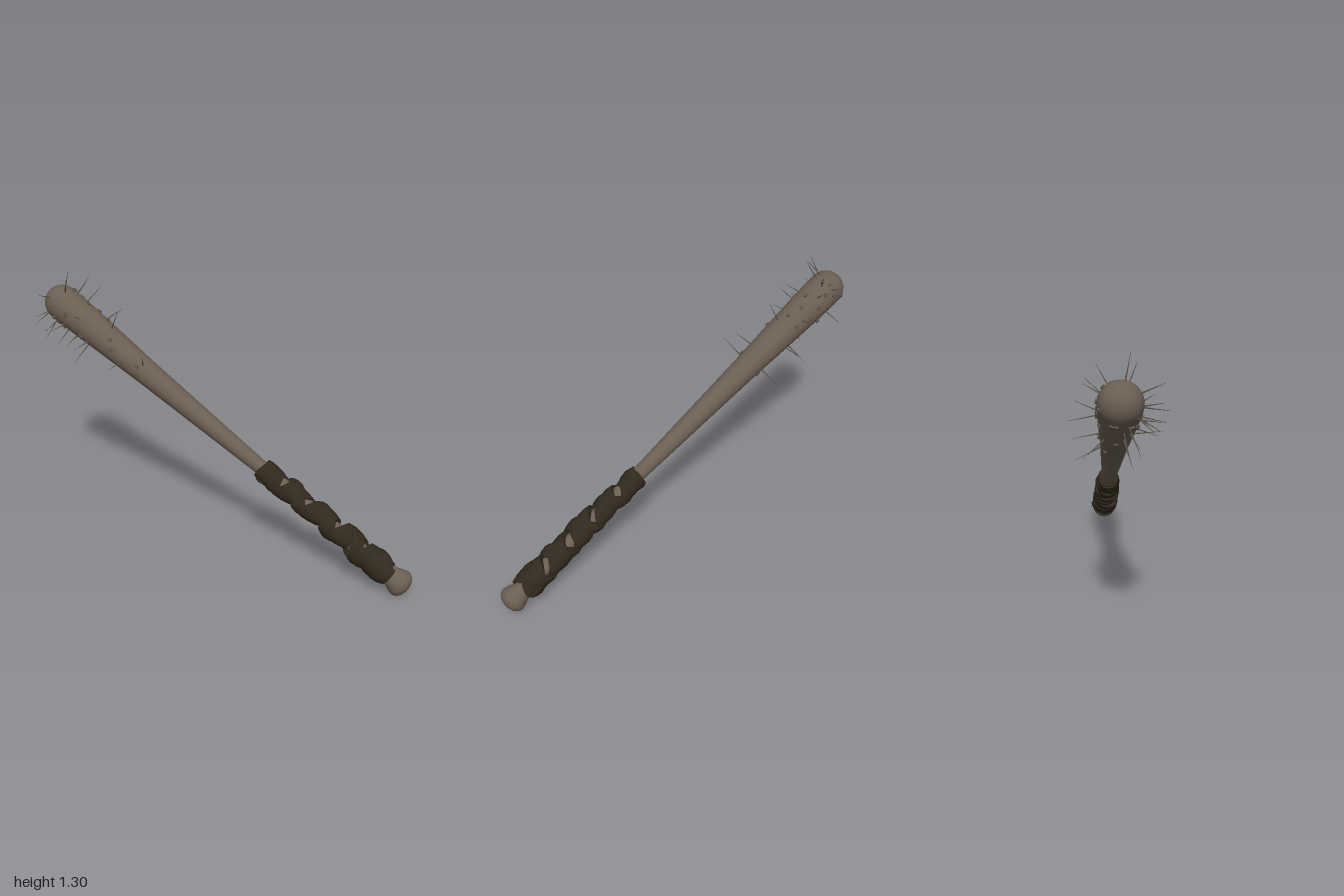
import * as THREE from 'three';
import { toCreasedNormals } from 'three/addons/utils/BufferGeometryUtils.js';

const wood = new THREE.MeshStandardMaterial({ color: 0x6b5e52 });
wood.name = 'weathered wood';
const leather = new THREE.MeshStandardMaterial({ color: 0x32291d, side: THREE.DoubleSide });
leather.name = 'dark leather';
const iron = new THREE.MeshStandardMaterial({ color: 0x5e534a });
iron.name = 'dull iron';

// Bat silhouette as [radius, distance from the knob end]
const PROFILE = [
  [0, 0], [0.022, 0.002], [0.042, 0.009], [0.057, 0.021], [0.066, 0.038], [0.065, 0.054], [0.057, 0.075],
  [0.048, 0.1], [0.041, 0.14], [0.036, 0.22], [0.033, 0.5], [0.035, 0.87], [0.045, 1.14],
  [0.062, 1.6], [0.074, 1.83], [0.084, 2.03], [0.087, 2.13], [0.087, 2.172],
];
const DOME = { r: 0.087, t: 2.172 };

function radiusAt(t) {
  if (t > DOME.t) return Math.sqrt(Math.max(0, DOME.r ** 2 - (t - DOME.t) ** 2));
  const k = PROFILE.findIndex((p) => p[1] >= t);
  const [r0, t0] = PROFILE[k - 1], [r1, t1] = PROFILE[k];
  return r0 + ((r1 - r0) * (t - t0)) / (t1 - t0);
}

// Turned wooden body with a rounded tip
function makeBat() {
  const pts = PROFILE.map(([r, t]) => new THREE.Vector2(r, t));
  for (let i = 1; i <= 10; i++) {
    const a = (i / 10) * Math.PI / 2;
    pts.push(new THREE.Vector2(i === 10 ? 0 : DOME.r * Math.cos(a), DOME.t + DOME.r * Math.sin(a)));
  }
  const mesh = new THREE.Mesh(new THREE.LatheGeometry(pts, 40), wood);
  mesh.name = 'batBody';
  return mesh;
}

// Flat strip wound round the grip from t0 to t1, closing with a level turn at each end;
// its section leans so turns overlap
function makeWrap(name, t0, t1, turns, width, lift, phase) {
  const section = [[-0.018, -0.5], [0.0, -0.5], [0.009, -0.2], [0.013, 0.2], [0.008, 0.48], [-0.018, 0.5]];
  const n = section.length, steps = Math.round(turns * 22);
  const pos = [], idx = [];
  for (let i = 0; i <= steps; i++) {
    const f = i / steps, a = phase + f * turns * Math.PI * 2;
    const climb = THREE.MathUtils.clamp((f * turns - 0.7) / (turns - 1.4), 0, 1);
    const t = t0 + (t1 - t0) * climb;
    const base = 0.057 - 0.015 * (t - 0.1) / 0.75 + lift + 0.004 * Math.sin(a * 0.73) + 0.002 * Math.sin(a * 2.3);
    const w = width * (1 + 0.12 * Math.sin(a * 1.37));
    for (const [dr, dt] of section) {
      const r = base + dr;
      pos.push(r * Math.cos(a), t + dt * w, r * Math.sin(a));
    }
  }
  for (let i = 0; i < steps; i++) {
    for (let j = 0; j < n; j++) {
      const p = i * n + j, q = i * n + ((j + 1) % n);
      idx.push(p, q, q + n, p, q + n, p + n);
    }
  }
  // End caps
  const e = steps * n;
  for (let j = 1; j < n - 1; j++) idx.push(0, j + 1, j, e, e + j, e + j + 1);
  const geo = new THREE.BufferGeometry();
  geo.setAttribute('position', new THREE.Float32BufferAttribute(pos, 3));
  geo.setIndex(idx);
  const mesh = new THREE.Mesh(toCreasedNormals(geo, 0.6), leather);
  mesh.name = name;
  return mesh;
}

// Nails driven through the barrel: [distance along bat, angle of point, point length, lean]
// Angle 0 is the upper side, 90 the front
const NAILS = [
  [2.17, 12, 0.11, 0.1], [1.87, 5, 0.11, 0.05], [1.63, 40, 0.12, 0], [2.13, 332, 0.1, 0.05],
  [1.93, 165, 0.13, 0.1], [2.06, 170, 0.12, 0.12], [2.15, 160, 0.12, -0.05], [2.0, 150, 0.07, 0.1],
  [2.085, 260, 0.11, -0.1], [2.08, 315, 0.1, 0], [1.96, 296, 0.11, -0.1],
  [1.836, 227, 0.11, 0], [1.805, 258, 0.11, 0.05], [1.652, 242, 0.13, 0], [2.15, 300, 0.07, 0.1],
  [2.2, 70, 0.09, 0.15], [2.16, 100, 0.1, 0.1], [2.12, 122, 0.09, 0], [2.09, 80, 0.09, -0.1],
  [2.06, 105, 0.1, 0.1], [2.02, 60, 0.08, 0], [1.98, 95, 0.1, -0.1], [1.92, 112, 0.09, 0.1],
  [1.72, 86, 0.13, 0], [2.18, 135, 0.08, 0.1], [2.16, 22, 0.09, 0.05],
];

function makeNails() {
  const group = new THREE.Group();
  group.name = 'nails';
  const pointGeo = new THREE.CylinderGeometry(0.0006, 0.0038, 1, 6).translate(0, 0.5, 0);
  const headGeo = new THREE.CylinderGeometry(0.0105, 0.0105, 0.007, 10);
  const up = new THREE.Vector3(0, 1, 0);
  for (const [t, deg, len, lean] of NAILS) {
    const a = THREE.MathUtils.degToRad(deg), r = radiusAt(t);
    const nail = new THREE.Group();
    nail.name = 'nail';
    nail.position.set(0, t, 0);
    nail.quaternion.setFromUnitVectors(up, new THREE.Vector3(Math.cos(a), lean, Math.sin(a)).normalize());
    const point = new THREE.Mesh(pointGeo, iron);
    point.name = 'nailPoint';
    point.position.y = r - 0.02;
    point.scale.y = len + 0.02;
    const head = new THREE.Mesh(headGeo, iron);
    head.name = 'nailHead';
    head.position.y = -r - 0.004;
    nail.add(point, head);
    group.add(nail);
  }
  return group;
}

export function createModel() {
  const model = new THREE.Group();
  model.name = 'spikedBat';
  // Built upright along y, then leaned over with the knob on the ground
  const bat = new THREE.Group();
  bat.name = 'bat';
  bat.add(
    makeBat(),
    makeWrap('gripWrap', 0.165, 0.82, 5.6, 0.12, 0, 0.4),
    makeWrap('crossWrap', 0.835, 0.15, 5.4, 0.075, 0.004, 2.2),
    makeNails(),
  );
  bat.position.set(0.985, 0.043, -0.005);
  bat.rotation.z = THREE.MathUtils.degToRad(59.9);
  model.add(bat);
  return model;
}
